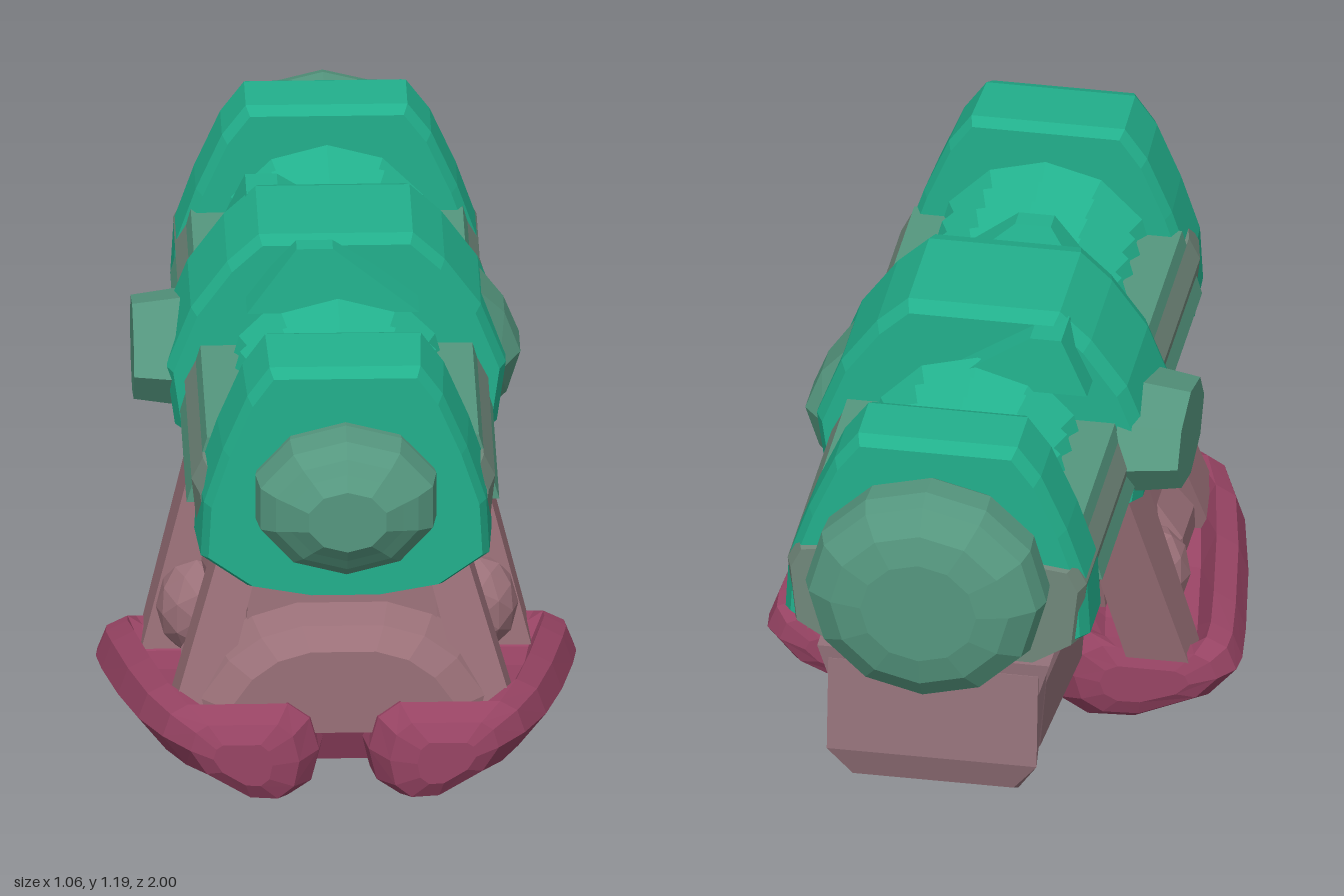
import * as THREE from 'three';
import { ConvexGeometry } from 'three/addons/geometries/ConvexGeometry.js';

const COLORS = { top: 0x22b08c, shell: 0x55977f, hull: 0x70877a, grip: 0x94727a, leg: 0x9a7078, foot: 0x984464 };
const V = (x, y, z) => new THREE.Vector3(x, y, z);

function add(group, name, geometry, color) {
  const material = new THREE.MeshStandardMaterial({ color: COLORS[color], flatShading: true, side: THREE.DoubleSide });
  const mesh = new THREE.Mesh(geometry, material);
  mesh.name = name;
  group.add(mesh);
}

// Symmetric half profile [x, y] repeated at stations [z, scale] around height cy
function prism(half, stations, cy) {
  const pts = [];
  for (const [z, s] of stations)
    for (const [x, y] of half)
      for (const m of [1, -1]) pts.push(V(m * x * s, cy + (y - cy) * s, z));
  return new ConvexGeometry(pts);
}

// Block between two rectangles [x0, x1, z0, z1, y], mirrored by side
function strut(top, bottom, side = 1) {
  const pts = [];
  for (const [x0, x1, z0, z1, y] of [top, bottom])
    for (const x of [x0, x1]) for (const z of [z0, z1]) pts.push(V(side * x, y, z));
  return new ConvexGeometry(pts);
}

// Turned part along z from [radius, z] pairs
function turned(profile, segments, cy, sy = 1) {
  const g = new THREE.LatheGeometry(profile.map(([r, z]) => new THREE.Vector2(r, z)), segments);
  g.rotateX(Math.PI / 2);
  g.scale(1, sy, 1);
  g.translate(0, cy, 0);
  return g;
}

// Faceted ellipsoid
function lump(x, y, z, rx, ry, rz) {
  const g = new THREE.IcosahedronGeometry(1, 1);
  g.scale(rx, ry, rz);
  g.translate(x, y, z);
  return g;
}

// Tilted shoe with a recessed top, from rows [z, inner x, outer x, bottom, top, recess]
function footGeometry(side) {
  const rows = [
    [0.785, 0.16, 0.29, 0.15, 0.25, 0], [0.765, 0.1, 0.34, 0.11, 0.29, 0], [0.7, 0.055, 0.4, 0.09, 0.312, 0],
    [0.58, 0.04, 0.45, 0.065, 0.312, 0.25], [0.4, 0.045, 0.49, 0.035, 0.295, 0.35], [0.2, 0.07, 0.52, 0.002, 0.27, 0.35],
    [0.1, 0.09, 0.53, 0.004, 0.25, 0.3], [0.05, 0.11, 0.525, 0.015, 0.24, 0.1], [0.005, 0.17, 0.49, 0.05, 0.22, 0],
    [-0.01, 0.23, 0.43, 0.09, 0.18, 0]];
  const pos = [], index = [], n = 12;
  for (const [z, x0, x1, y0, y1, d] of rows) {
    const rim = 1 - d * 0.55;
    const section = [[0, 0.5], [0.05, 0.17], [0.2, 0.01], [0.45, 0.03], [0.85, 0.35], [1, 0.66],
      [0.95, 0.9], [0.84, 1], [0.76, 1 - d], [0.3, 1 - d], [0.2, rim], [0.06, 0.84 * rim]];
    for (const [u, v] of section) pos.push(side * (x0 + u * (x1 - x0)), y0 + v * (y1 - y0), z);
  }
  const face = (a, b, c) => index.push(...(side > 0 ? [a, b, c] : [a, c, b]));
  for (let r = 0; r < rows.length - 1; r++)
    for (let i = 0; i < n; i++) {
      const a = r * n + i, b = r * n + (i + 1) % n;
      face(a, a + n, b);
      face(b, a + n, b + n);
    }
  const last = (rows.length - 1) * n;
  for (let i = 1; i < n - 1; i++) {
    face(0, i, i + 1);
    face(last, last + i + 1, last + i);
  }
  const g = new THREE.BufferGeometry();
  g.setAttribute('position', new THREE.Float32BufferAttribute(pos, 3));
  g.setIndex(index);
  g.computeVertexNormals();
  return g;
}

export function createModel() {
  const model = new THREE.Group();
  model.name = 'stubbyDevice';

  // Long lower hull with raised side rails
  add(model, 'hull', prism(
    [[0.23, 0.9], [0.31, 0.89], [0.335, 0.84], [0.32, 0.7], [0.2, 0.625], [0, 0.605]],
    [[-0.8, 0.96], [-0.76, 1], [0.66, 1], [0.74, 0.95]], 0.8), 'hull');
  for (const side of [1, -1]) for (const [z0, z1] of [[0.1, 0.63], [-0.62, -0.18]]) {
    add(model, 'sideRail', strut([0.21, 0.3, z0, z1, 0.925], [0.24, 0.345, z0, z1, 0.77], side), 'shell');
  }

  // Ribbed sleeve exposed between the collars
  const ribs = [];
  for (let i = 0; i <= 30; i++) ribs.push([i % 2 ? 0.25 : 0.222, -0.64 + i * 1.28 / 30]);
  add(model, 'ribbedSleeve', turned(ribs, 12, 0.84), 'top');

  // Front and rear collars
  const collar = [[0.17, 1.17], [0.22, 1.1], [0.275, 0.97], [0.318, 0.84], [0.325, 0.71], [0.22, 0.635], [0.08, 0.61]];
  add(model, 'frontCollar', prism(collar, [[0.6, 0.97], [0.63, 1.01], [0.79, 0.98], [0.825, 0.93]], 0.87), 'top');
  const rearCollar = collar.map(([x, y]) => [x * 1.05, y]);
  add(model, 'rearCollar', prism(rearCollar, [[-0.59, 0.95], [-0.62, 1], [-0.75, 1], [-0.785, 0.95]], 0.87), 'top');

  // Wide middle band with raised lips
  const band = [[0.17, 1.175], [0.24, 1.11], [0.32, 1.0], [0.375, 0.86], [0.355, 0.72], [0.21, 0.625], [0.06, 0.6]];
  add(model, 'middleBand', prism(band, [[0.13, 0.96], [0.09, 1], [-0.17, 1], [-0.21, 0.95]], 0.87), 'top');
  add(model, 'frontLip', strut([-0.09, -0.01, 0.16, 0.21, 1.19], [-0.2, 0.18, 0.1, 0.22, 1.04]), 'top');
  add(model, 'rearLip', strut([-0.19, -0.12, -0.27, -0.16, 1.16], [-0.25, 0.08, -0.28, -0.16, 1.03]), 'top');

  // Side knob on the right, pointed boss on the left
  const knob = new THREE.CylinderGeometry(0.115, 0.135, 0.14, 8);
  knob.rotateZ(Math.PI / 2);
  knob.scale(1, 0.9, 1.45);
  knob.translate(-0.375, 0.835, -0.07);
  add(model, 'sideKnob', knob, 'shell');
  const boss = [];
  for (const [x, y, z0, z1] of [[0.41, 0.84, -0.12, -0.01], [0.375, 0.93, -0.11, -0.02], [0.3, 1.02, -0.13, 0.03],
    [0.36, 0.84, -0.18, 0.1], [0.38, 0.74, -0.11, -0.02], [0.28, 0.66, -0.13, 0.03]])
    boss.push(V(x, y, z0), V(x, y, z1));
  add(model, 'sideBoss', new ConvexGeometry(boss), 'shell');

  // Nose plug and rear cap
  add(model, 'nose', turned(
    [[0, 0.76], [0.2, 0.78], [0.21, 0.85], [0.2, 0.92], [0.165, 0.955], [0.13, 0.975], [0.09, 1], [0, 1]], 10, 0.88, 0.8), 'shell');
  add(model, 'rearCap', turned(
    [[0, -1], [0.13, -1], [0.2, -0.985], [0.255, -0.945], [0.27, -0.9], [0.265, -0.83], [0.235, -0.785], [0, -0.75]], 12, 0.87, 0.94), 'shell');

  // Rear underside: mounting plate, box and tail block
  add(model, 'mountPlate', strut([-0.26, 0.26, -0.81, -0.08, 0.65], [-0.21, 0.21, -0.8, -0.14, 0.49]), 'grip');
  add(model, 'lowerBox', prism([[0.22, 0.53], [0.235, 0.48], [0.22, 0.3], [0.18, 0.245]],
    [[-0.15, 0.98], [-0.18, 1], [-0.6, 0.92], [-0.74, 0.8]], 0.51), 'grip');
  const tail = [];
  for (const side of [1, -1]) for (const [z, y] of [[-0.66, 0.62], [-0.81, 0.62], [-0.83, 0.4], [-0.81, 0.33], [-0.75, 0.295], [-0.66, 0.285]])
    tail.push(V(side * (y < 0.35 ? 0.18 : 0.235), y, z));
  add(model, 'tailBlock', new ConvexGeometry(tail), 'grip');

  // Central pedestal with a rounded front apron
  add(model, 'pedestal', strut([-0.2, 0.2, 0.02, 0.54, 0.65], [-0.22, 0.22, 0.12, 0.57, 0.25]), 'leg');
  add(model, 'frontApron', prism([[0.1, 0.49], [0.2, 0.46], [0.28, 0.4], [0.35, 0.3], [0.35, 0.24], [0.1, 0.22]],
    [[0.3, 0.9], [0.36, 1], [0.55, 1], [0.63, 0.9], [0.68, 0.72]], 0.26), 'leg');
  add(model, 'footBridge', strut([-0.14, 0.14, 0.24, 0.64, 0.27], [-0.08, 0.08, 0.3, 0.58, 0.125]), 'foot');

  // Legs and feet
  for (const side of [1, -1]) {
    const leg = new THREE.Group();
    leg.name = side > 0 ? 'leftLeg' : 'rightLeg';
    model.add(leg);
    add(leg, 'foot', footGeometry(side), 'foot');
    add(leg, 'frontStrut', strut([0.17, 0.26, 0.42, 0.55, 0.65], [0.28, 0.39, 0.52, 0.65, 0.22], side), 'leg');
    add(leg, 'middleStrut', strut([0.14, 0.23, 0.22, 0.4, 0.65], [0.24, 0.33, 0.36, 0.52, 0.22], side), 'leg');
    add(leg, 'rearStrut', strut([0.18, 0.31, -0.09, 0.07, 0.65], [0.29, 0.43, 0.0, 0.12, 0.19], side), 'leg');
    add(leg, 'thighBulge', lump(side * 0.2, 0.44, 0.2, 0.1, 0.17, 0.13), 'leg');
    add(leg, 'ankleJoint', lump(side * 0.31, 0.32, 0.18, 0.09, 0.11, 0.09), 'leg');
  }
  return model;
}
